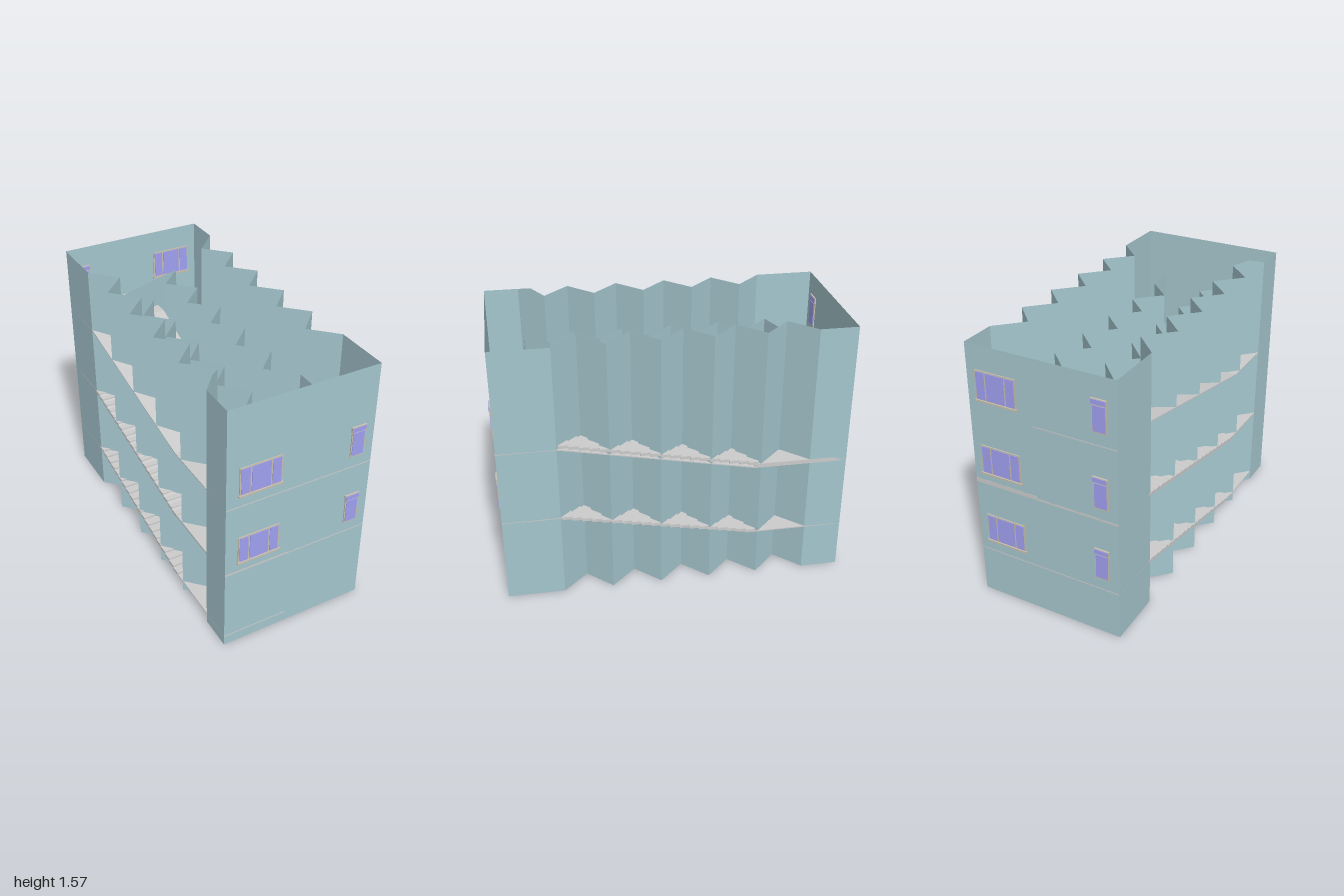
import * as THREE from 'three';

const X = 0.44, Z = 0.987, TOP = 1.55, FLOOR = 0.44;
const mat = (color) => new THREE.MeshStandardMaterial({ color, side: THREE.DoubleSide, flatShading: true });
const wallMat = mat(0xa5c6ce), floorMat = mat(0xcccccc), glassMat = mat(0xa0a0f2), frameMat = mat(0xc8c0b0);

function add(parent, name, geometry, material) {
  const mesh = new THREE.Mesh(geometry, material);
  mesh.name = name;
  parent.add(mesh);
  return mesh;
}

function box(parent, name, x0, x1, y0, y1, z0, z1, material) {
  const m = add(parent, name, new THREE.BoxGeometry(x1 - x0, y1 - y0, z1 - z0), material);
  m.position.set((x0 + x1) / 2, (y0 + y1) / 2, (z0 + z1) / 2);
  return m;
}

// Folded run of points [x, z], alternating between two x values
function zigzag(xOut, xIn, zStart, zEnd) {
  return Array.from({ length: 11 }, (_, i) => [i % 2 ? xIn : xOut, zStart + (zEnd - zStart) * i / 10]);
}

// Closed upright sheet following a plan outline
function wallLoop(path, height) {
  const p = [];
  path.forEach(([ax, az], i) => {
    const [bx, bz] = path[(i + 1) % path.length];
    p.push(ax, 0, az, bx, 0, bz, bx, height, bz, ax, 0, az, bx, height, bz, ax, height, az);
  });
  const g = new THREE.BufferGeometry();
  g.setAttribute('position', new THREE.Float32BufferAttribute(p, 3));
  g.computeVertexNormals();
  return g;
}

// Slab between a front edge a and a back edge b, each {z, x0, x1, y}
function slab(a, b, t) {
  const g = new THREE.BoxGeometry(1, 1, 1), p = g.attributes.position;
  for (let i = 0; i < p.count; i++) {
    const e = p.getZ(i) > 0 ? a : b;
    p.setXYZ(i, p.getX(i) < 0 ? e.x0 : e.x1, e.y + (p.getY(i) > 0 ? t : 0), e.z);
  }
  g.computeVertexNormals();
  return g;
}

// Overlapping treads climbing from zLow to zHigh
function steps(parent, name, x0, x1, zLow, zHigh, yLow, yHigh, lift) {
  const group = new THREE.Group(), n = 20;
  group.name = name;
  for (let i = 0; i < n; i++) {
    const za = zLow + (zHigh - zLow) * i / n, zb = zLow + (zHigh - zLow) * (i + 1) / n;
    const y = yLow + (yHigh - yLow) * (i + 1) / n + lift;
    box(group, 'tread', x0, x1, y - 0.018, y, Math.min(za, zb), Math.max(za, zb), floorMat);
  }
  parent.add(group);
}

// Three-pane window and a narrow window with a transom, on the +z wall
function windows(parent, y, shift) {
  const g = new THREE.Group();
  g.name = 'windowPair';
  const wx = -0.243 + shift;
  box(g, 'wideFrame', wx - 0.123, wx + 0.123, y, y + 0.17, Z - 0.006, Z + 0.006, frameMat);
  box(g, 'windowSill', wx - 0.128, wx + 0.128, y - 0.006, y + 0.004, Z - 0.01, 1, frameMat);
  for (const [c, w] of [[-0.09, 0.05], [0, 0.11], [0.09, 0.05]])
    box(g, 'widePane', wx + c - w / 2, wx + c + w / 2, y + 0.008, y + 0.163, Z - 0.009, Z + 0.009, glassMat);
  box(g, 'narrowFrame', 0.298, 0.385, y, y + 0.16, Z - 0.006, Z + 0.006, frameMat);
  box(g, 'narrowPane', 0.305, 0.376, y + 0.008, y + 0.15, Z - 0.009, Z + 0.009, glassMat);
  box(g, 'transomFrame', 0.294, 0.384, y + 0.156, y + 0.188, Z - 0.008, Z + 0.01, frameMat);
  box(g, 'transomPane', 0.298, 0.38, y + 0.16, y + 0.184, Z - 0.011, 1, glassMat);
  parent.add(g);
  return g;
}

export function createModel() {
  const model = new THREE.Group();
  model.name = 'stairBuilding';

  // Outer shell with folded side walls
  add(model, 'outerWall', wallLoop([
    [-X, Z], [X, Z], ...zigzag(X, 0.3, 0.66, -0.77),
    [X, -Z], [-X, -Z], ...zigzag(-X, -0.3, -0.65, 0.79),
  ], TOP), wallMat);

  // Small gable on the front left panel
  const peak = new THREE.BufferGeometry();
  peak.setAttribute('position', new THREE.Float32BufferAttribute(
    [-0.3, TOP, 0.646, -X, TOP, 0.79, -0.37, TOP + 0.024, 0.718], 3));
  peak.computeVertexNormals();
  add(model, 'wallPeak', peak, wallMat);

  // Inner shaft, lower than the shell
  add(model, 'innerShaft', wallLoop([
    [-0.23, 0.78], [0.215, 0.78], ...zigzag(0.215, 0.07, 0.62, -0.81),
    ...zigzag(-0.225, -0.09, -0.65, 0.78).slice(0, -1),
  ], 1.35), wallMat);

  // Flights and landings winding up around the shaft
  const edge = (z, x0, x1, y) => ({ z, x0, x1, y });
  for (let k = 0; k < 3; k++) {
    const yf = 0.06 + FLOOR * k + (k ? 0.005 : 0), yb = 0.285 + FLOOR * k;
    const t = k === 1 ? 0.012 : 0.006;
    add(model, 'frontLeftLanding', slab(edge(Z + 0.001, -X, -0.055, yf), edge(0.44, -X, -0.055, yf), t), floorMat);
    add(model, 'backLeftLanding', slab(edge(-0.66, -X, 0.05, yb), edge(-Z - 0.001, -X, 0.05, yb), t), floorMat);
    if (k) add(model, 'leftRamp', slab(edge(0.44, -X, -0.055, yf), edge(-0.66, -X, 0.05, yb), t), floorMat);
    if (k < 2) {
      steps(model, 'leftSteps', -X - 0.003, -0.055, 0.44, -0.66, yf, yb, 0.008);
      const yn = 0.505 + FLOOR * k, tr = k ? 0.025 : 0.006;
      add(model, 'backRightLanding', slab(edge(-0.45, 0.05, X, yb), edge(-Z - 0.001, 0.05, X, yb), tr), floorMat);
      add(model, 'rightRamp', slab(edge(0.65, -0.055, X, yn), edge(-0.45, 0.05, X, yb), 0.006), floorMat);
      steps(model, 'rightSteps', 0.05, X, -0.47, 0.65, yb, yn, k ? 0.028 : 0.008);
      add(model, 'frontRightLanding', slab(edge(Z + 0.001, -0.055, X, yn), edge(0.65, -0.055, X, yn), 0.006), floorMat);
    }
  }

  // Short pipe standing in the front corner
  const pipe = add(model, 'pipe', new THREE.CylinderGeometry(0.03, 0.03, 0.1, 8), floorMat);
  pipe.position.set(0.395, 1.0, 0.915);

  // Windows on the front, and turned round for the back
  for (const y of [0.575, 1.02]) windows(model, y, 0);
  for (const y of [0.36, 0.8, 1.24]) windows(model, y, -0.022).rotation.y = Math.PI;

  return model;
}
